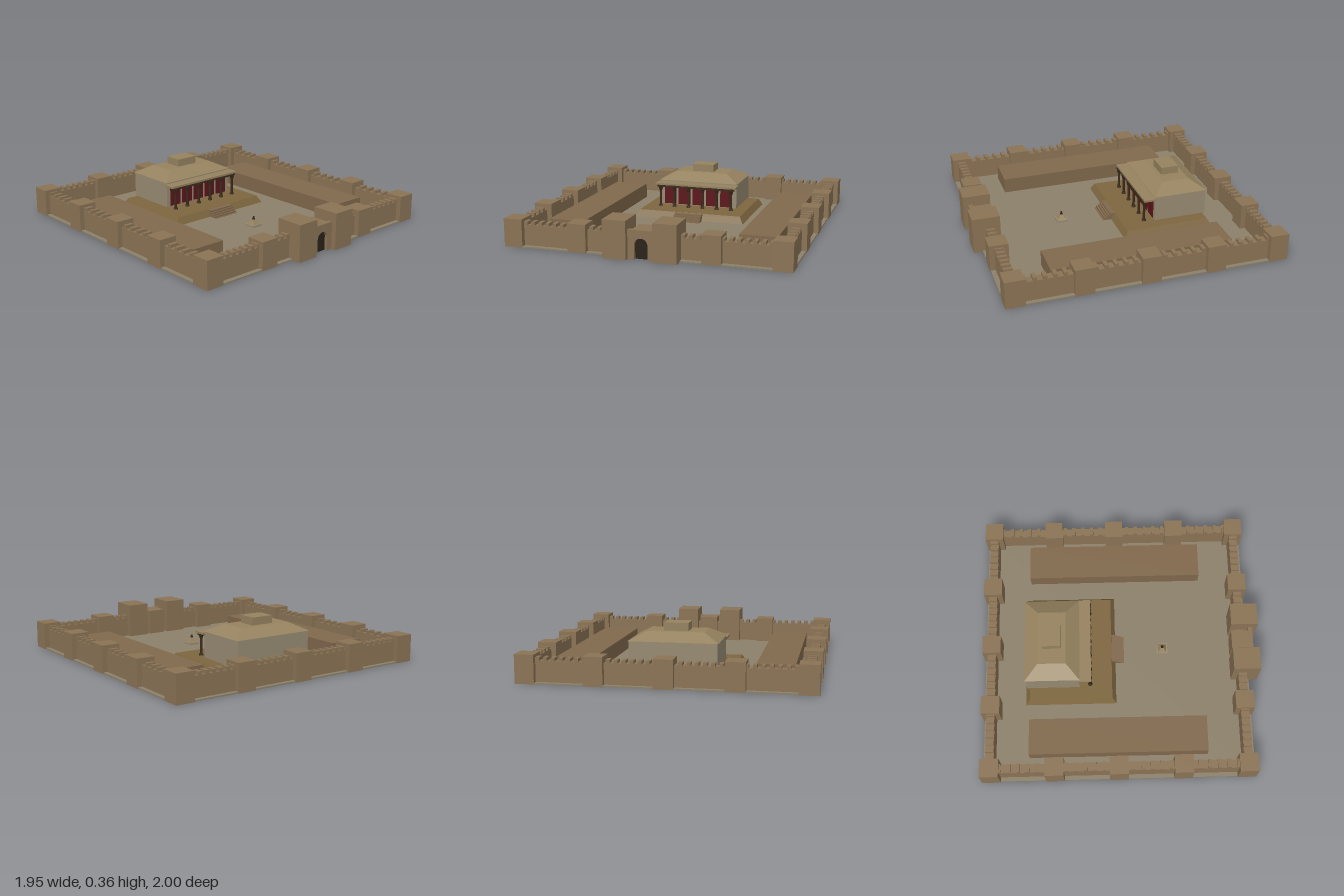
import * as THREE from 'three';

const mat = (color, side = THREE.FrontSide) => new THREE.MeshStandardMaterial({ color, side, flatShading: true });
const M = {
  wall: mat(0x8a7355), ground: mat(0x8b8069), side: mat(0x80684c), plinth: mat(0x7d663f),
  hall: mat(0x978a72), roof: mat(0x95825f), red: mat(0x5c1519), dark: mat(0x2a211a), wood: mat(0x3a2a1c),
};

export function createModel() {
  const root = new THREE.Group();

  const add = (parent, name, geo, material, x = 0, y = 0, z = 0) => {
    const m = new THREE.Mesh(geo, material);
    m.name = name;
    m.position.set(x, y, z);
    parent.add(m);
    return m;
  };
  // Box given by its extents on each axis
  const box = (parent, name, material, x0, x1, y0, y1, z0, z1) =>
    add(parent, name, new THREE.BoxGeometry(x1 - x0, y1 - y0, z1 - z0), material,
      (x0 + x1) / 2, (y0 + y1) / 2, (z0 + z1) / 2);
  // Box whose top face shrinks to (tw, td)
  const frustum = (parent, name, material, w, d, tw, td, h, x, y, z) => {
    const g = new THREE.BoxGeometry(w, h, d);
    const p = g.attributes.position;
    for (let i = 0; i < p.count; i++) {
      if (p.getY(i) > 0) p.setXYZ(i, p.getX(i) * tw / w, h / 2, p.getZ(i) * td / d);
    }
    g.computeVertexNormals();
    return add(parent, name, g, material, x, y + h / 2, z);
  };
  const group = (name) => {
    const g = new THREE.Group();
    g.name = name;
    root.add(g);
    return g;
  };

  box(root, 'ground', M.ground, -0.97, 0.97, 0, 0.01, -0.995, 0.94);

  // Perimeter walls with merlons
  const X = 0.91, ZB = -0.935, ZF = 0.877, T = 0.03;
  const walls = group('perimeterWalls');
  for (const z of [ZB, ZF]) {
    box(walls, 'wall', M.wall, -X, X, 0, 0.15, z - T, z + T);
    for (let i = -16; i <= 16; i++) {
      const x = i * 0.052;
      if (z === ZF && Math.abs(x) < 0.2) continue;
      box(walls, 'merlon', M.wall, x - 0.013, x + 0.013, 0.15, 0.172, z - T, z + T);
    }
  }
  for (const s of [-1, 1]) {
    box(walls, 'wall', M.wall, s * X - T, s * X + T, 0, 0.15, ZB, ZF);
    for (let i = 0; i < 26; i++) {
      const z = -0.868 + i * 0.067;
      box(walls, 'merlon', M.wall, s * X - T, s * X + T, 0.15, 0.172, z - 0.013, z + 0.013);
    }
  }

  // Square wall towers, the middle one in front carrying the gate
  const towers = group('wallTowers');
  const tower = (x, z) => box(towers, 'tower', M.wall, x - 0.065, x + 0.065, 0, 0.193, z - 0.066, z + 0.066);
  for (let i = -2; i <= 2; i++) {
    tower(i * X / 2, ZB);
    tower(i * X / 2, ZF);
  }
  for (const s of [-1, 1]) for (let i = 1; i <= 3; i++) tower(s * X, ZB + i * (ZF - ZB) / 4);

  // Gatehouse with arched doorway
  const gate = group('gatehouse');
  for (const s of [-1, 1]) {
    box(gate, 'gateTower', M.wall, s * 0.17 - 0.08, s * 0.17 + 0.08, 0, 0.256, 0.807, 1);
  }
  const face = new THREE.Shape();
  face.moveTo(-0.09, 0);
  face.lineTo(-0.045, 0);
  face.lineTo(-0.045, 0.09);
  face.absarc(0, 0.095, 0.045, Math.PI, 0, true);
  face.lineTo(0.045, 0);
  face.lineTo(0.09, 0);
  face.lineTo(0.09, 0.193);
  face.lineTo(-0.09, 0.193);
  add(gate, 'gateArch', new THREE.ExtrudeGeometry(face, { depth: 0.03, bevelEnabled: false, curveSegments: 8 }), M.wall, 0, 0, 0.936);
  box(gate, 'gateDoor', M.dark, -0.046, 0.046, 0, 0.142, 0.938, 0.946);

  // Long side buildings
  for (const s of [-1, 1]) {
    box(root, 'sideBuilding', M.side, s * 0.677 - 0.128, s * 0.677 + 0.128, 0, 0.12, -0.665, 0.605);
  }

  // Raised platform and its steps
  const platform = group('platform');
  frustum(platform, 'plinth', M.plinth, 0.836, 0.668, 0.77, 0.6, 0.06, 0, 0, -0.366);
  for (let i = 0; i < 5; i++) {
    box(platform, 'step', M.side, -0.103, 0.103, 0, 0.058 - i * 0.0115, -0.08, -0.028 + i * 0.0135);
  }

  // Main hall with hipped roof and lantern
  const hall = group('mainHall');
  const hz = -0.493;
  box(hall, 'hallBody', M.hall, -0.298, 0.298, 0.05, 0.245, -0.685, -0.3);
  frustum(hall, 'hippedRoof', M.roof, 0.61, 0.395, 0.39, 0.2, 0.057, 0, 0.245, hz);
  box(hall, 'roofLantern', M.roof, -0.083, 0.083, 0.3, 0.356, -0.558, -0.428);

  // Porch: roof slab, beam, rafters, columns and red panels
  const porch = group('porch');
  box(porch, 'porchRoof', M.roof, -0.313, 0.313, 0.222, 0.236, -0.302, -0.215);
  box(porch, 'porchBeam', M.wood, -0.3, 0.3, 0.207, 0.222, -0.234, -0.218);
  for (let i = -7; i <= 7; i++) {
    box(porch, 'rafter', M.wood, i * 0.041 - 0.005, i * 0.041 + 0.005, 0.213, 0.223, -0.3, -0.21);
  }
  const column = new THREE.CylinderGeometry(0.009, 0.01, 0.16, 8);
  const capital = new THREE.CylinderGeometry(0.019, 0.01, 0.03, 8);
  const base = new THREE.CylinderGeometry(0.013, 0.017, 0.014, 8);
  for (let i = 0; i < 6; i++) {
    const x = -0.275 + i * 0.11;
    add(porch, 'column', column, M.wood, x, 0.135, -0.226);
    add(porch, 'capital', capital, M.wood, x, 0.195, -0.226);
    add(porch, 'columnBase', base, M.wood, x, 0.066, -0.226);
    if (i < 5) box(porch, 'redPanel', M.red, x + 0.009, x + 0.101, 0.065, 0.21, -0.301, -0.295);
  }

  // Small stepped monument in the courtyard
  const monument = group('courtyardMonument');
  box(monument, 'monumentBase', M.hall, -0.04, 0.04, 0.005, 0.024, 0.27, 0.35);
  frustum(monument, 'monumentPyramid', M.roof, 0.062, 0.062, 0.02, 0.02, 0.034, 0, 0.024, 0.31);
  add(monument, 'monumentFinial', new THREE.CylinderGeometry(0.005, 0.011, 0.022, 8), M.dark, 0, 0.069, 0.31);

  return root;
}
